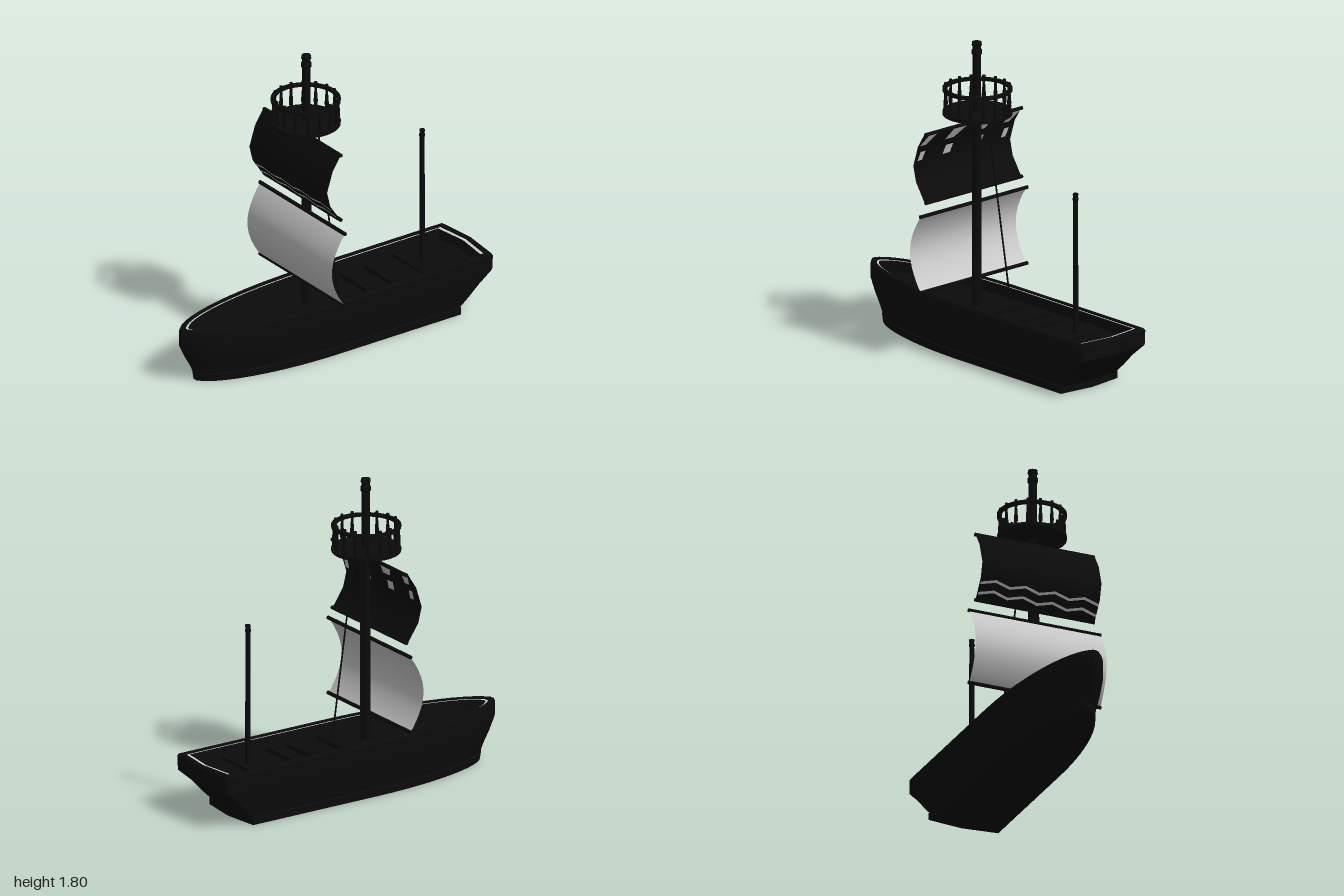
import * as THREE from 'three';
import { toCreasedNormals } from 'three/addons/utils/BufferGeometryUtils.js';

const dark = new THREE.MeshStandardMaterial({ color: 0x0b0b0b, side: THREE.DoubleSide });
const pale = new THREE.MeshStandardMaterial({ color: 0xcccccc, side: THREE.DoubleSide });
const MAST_X = -0.14, HULL_Z = -0.008;

function add(parent, name, geometry, material, x = 0, y = 0, z = 0) {
  const mesh = new THREE.Mesh(geometry, material);
  mesh.name = name;
  mesh.position.set(x, y, z);
  parent.add(mesh);
  return mesh;
}

// Boat-shaped outline: square stern at +x, pointed bow at -x
function outline([y, bow, stern, w]) {
  const side = [];
  const N = 28;
  for (let i = 0; i <= N; i++) {
    const u = 1 - Math.pow(1 - i / N, 1.5);
    const q = Math.max(0, (u - 0.5) / 0.5);
    const half = w && Math.max(0.012, w * Math.pow(1 - q * q, 0.58));
    side.push([stern - 0.025 + (bow - stern + 0.025) * u, half]);
  }
  const port = side.map(([x, h]) => [x, y, HULL_Z + h]);
  const starboard = side.map(([x, h]) => [x, y, HULL_Z - h]).reverse();
  return [[stern, y, HULL_Z], ...port, ...starboard];
}

// Skin between stacked outlines: [y, bow x, stern x, half width]
function loft(levels) {
  const rings = levels.map(outline), n = rings[0].length, index = [];
  for (let k = 0; k < rings.length - 1; k++) {
    for (let i = 0; i < n; i++) {
      const j = (i + 1) % n;
      const a = k * n + i, b = k * n + j, c = b + n, d = a + n;
      index.push(a, d, b, b, d, c);
    }
  }
  const g = new THREE.BufferGeometry();
  g.setAttribute('position', new THREE.Float32BufferAttribute(rings.flat(2), 3));
  g.setIndex(index);
  return toCreasedNormals(g, 0.5);
}

// Sheet swept across the ship from a side profile of [x, y] points
function sheet(profile, halfWidth) {
  const pos = [], index = [];
  profile.forEach(([x, y], i) => {
    pos.push(x, y, halfWidth, x, y, -halfWidth);
    if (i) index.push(2 * i - 2, 2 * i, 2 * i - 1, 2 * i - 1, 2 * i, 2 * i + 1);
  });
  const g = new THREE.BufferGeometry();
  g.setAttribute('position', new THREE.Float32BufferAttribute(pos, 3));
  g.setIndex(index);
  g.computeVertexNormals();
  return g;
}

function xAt(profile, y) {
  for (let i = 1; i < profile.length; i++) {
    const [x0, y0] = profile[i - 1], [x1, y1] = profile[i];
    if (y >= y1) return x0 + (x1 - x0) * (y0 - y) / (y0 - y1);
  }
  return profile[profile.length - 1][0];
}

// Four-cornered patch lying just off the sail; corners are [z, y]
function patch(profile, corners, offset) {
  const g = new THREE.BufferGeometry();
  const pos = corners.flatMap(([z, y]) => [xAt(profile, y) + offset, y, z]);
  g.setAttribute('position', new THREE.Float32BufferAttribute(pos, 3));
  g.setIndex([0, 1, 2, 0, 2, 3]);
  g.computeVertexNormals();
  return g;
}

function rod(parent, name, from, to, radius) {
  const a = new THREE.Vector3(...from), b = new THREE.Vector3(...to);
  const mesh = add(parent, name, new THREE.CylinderGeometry(radius, radius, a.distanceTo(b), 8), dark);
  mesh.position.copy(a).add(b).multiplyScalar(0.5);
  mesh.quaternion.setFromUnitVectors(new THREE.Vector3(0, 1, 0), b.sub(a).normalize());
}

function mast(parent, name, x, z, r, top) {
  const p = [[r, 0.26], [r * 0.86, top - r * 2.8], [r * 1.05, top - r * 2.6], [r * 1.05, top - r * 1.8],
    [r * 0.85, top - r * 1.6], [r * 0.85, top - r], [r * 1.02, top - r * 0.8], [r * 0.95, top - r * 0.1], [0, top]];
  const g = new THREE.LatheGeometry(p.map(([a, b]) => new THREE.Vector2(a, b)), 16);
  add(parent, name, toCreasedNormals(g, 0.6), dark, x, 0, z);
}

export function createModel() {
  const ship = new THREE.Group();
  ship.name = 'sailingShip';

  // Hull with keel slab, raking stern, rim and sunken deck
  add(ship, 'hull', loft([
    [0, -0.9, 0.8, 0], [0, -0.9, 0.8, 0.213], [0.04, -0.908, 0.8, 0.213], [0.045, -0.905, 0.805, 0.203],
    [0.09, -0.925, 0.85, 0.213], [0.16, -0.965, 0.91, 0.228], [0.235, -1, 0.995, 0.24], [0.32, -1, 1, 0.24],
    [0.333, -0.993, 0.993, 0.232], [0.333, -0.96, 0.968, 0.21], [0.325, -0.955, 0.965, 0.208],
    [0.265, -0.94, 0.94, 0.195], [0.265, -0.94, 0.94, 0],
  ]), dark);
  add(ship, 'rimTrim', loft([[0.326, -0.955, 0.964, 0.208], [0.326, -0.938, 0.944, 0.2]]), pale);

  // Low deck hatches and thwarts
  for (const [x, w] of [[0.05, 0.1], [0.25, 0.12], [0.4, 0.08]]) {
    add(ship, 'deckHatch', new THREE.BoxGeometry(w, 0.03, 0.26), dark, x, 0.275, HULL_Z);
  }
  add(ship, 'mastStep', new THREE.BoxGeometry(0.14, 0.02, 0.34), dark, 0.65, 0.272, HULL_Z);

  mast(ship, 'mainMast', MAST_X, 0, 0.028, 1.8);
  mast(ship, 'aftMast', 0.663, HULL_Z, 0.016, 1.1);

  // Lookout platform with baluster railing
  const nest = new THREE.Group();
  nest.name = 'lookout';
  nest.position.set(MAST_X, 0, -0.005);
  ship.add(nest);
  add(nest, 'lookoutFloor', new THREE.CylinderGeometry(0.195, 0.195, 0.02, 32), dark, 0, 1.384, 0);
  const ring = new THREE.Shape().absarc(0, 0, 0.195, 0, Math.PI * 2);
  ring.holes.push(new THREE.Path().absarc(0, 0, 0.172, 0, Math.PI * 2, true));
  const rail = new THREE.ExtrudeGeometry(ring, { depth: 0.018, bevelEnabled: false, curveSegments: 32 });
  rail.rotateX(-Math.PI / 2);
  add(nest, 'lookoutRail', rail, dark, 0, 1.512, 0);
  const spindle = new THREE.LatheGeometry(
    [[0.009, 1.39], [0.012, 1.43], [0.007, 1.5], [0.01, 1.52], [0.009, 1.545], [0, 1.547]]
      .map(([r, y]) => new THREE.Vector2(r, y)), 8);
  for (let i = 0; i < 16; i++) {
    const a = (i + 0.4) / 16 * Math.PI * 2;
    add(nest, 'baluster', spindle, dark, 0.18 * Math.cos(a), 0, 0.18 * Math.sin(a));
  }

  // Upper sail: a dark double cloth, faceted
  const upper = [[-0.168, 1.325], [-0.222, 1.24], [-0.26, 1.12], [-0.238, 1.03], [-0.168, 0.925]];
  add(ship, 'upperSailBack', sheet(upper, 0.362), dark);
  add(ship, 'upperSailFront', sheet(upper.map(([x, y]) => [x - 0.008, y]), 0.362), dark);

  // Pale patches on the hollow side
  for (const [z0, z1] of [[0.36, 0.27], [0.17, 0.04], [-0.06, -0.19], [-0.27, -0.36]]) {
    const m = (z0 + z1) / 2;
    add(ship, 'sailPatch', patch(upper, [[z0 - 0.03, 1.31], [z0, 1.245], [m, 1.245], [z1, 1.31]], 0.003), pale);
    add(ship, 'sailPatch', patch(upper, [[z0 - 0.02, 1.205], [z0 - 0.01, 1.15], [m, 1.15], [m - 0.01, 1.205]], 0.003), pale);
  }
  // Pale zigzag bands on the bulging side
  for (const y of [1.005, 0.955]) {
    for (let i = 0; i < 8; i++) {
      const z = -0.36 + i * 0.09, a = i % 2 ? 0.01 : -0.01;
      add(ship, 'sailBand', patch(upper,
        [[z, y + a], [z, y + a + 0.013], [z + 0.09, y - a + 0.013], [z + 0.09, y - a]], -0.011), pale);
    }
  }

  // Lower sail: smooth pale cloth
  const lower = [];
  for (let i = 0; i <= 20; i++) {
    const t = i / 20;
    lower.push([-0.166 - 0.088 * Math.pow(Math.sin(Math.PI * t), 0.9), 0.85 - 0.44 * t]);
  }
  add(ship, 'lowerSail', sheet(lower, 0.4), pale);

  // Yards
  for (const [y, h] of [[1.325, 0.365], [0.925, 0.365], [0.853, 0.405], [0.41, 0.405]]) {
    rod(ship, 'yard', [-0.165, y, h], [-0.165, y, -h], 0.011);
  }

  // Stays running down to the deck
  for (const s of [1, -1]) {
    rod(ship, 'stay', [-0.088, 1.38, s * 0.03], [-0.011, 0.265, s * 0.137], 0.005);
  }
  return ship;
}
